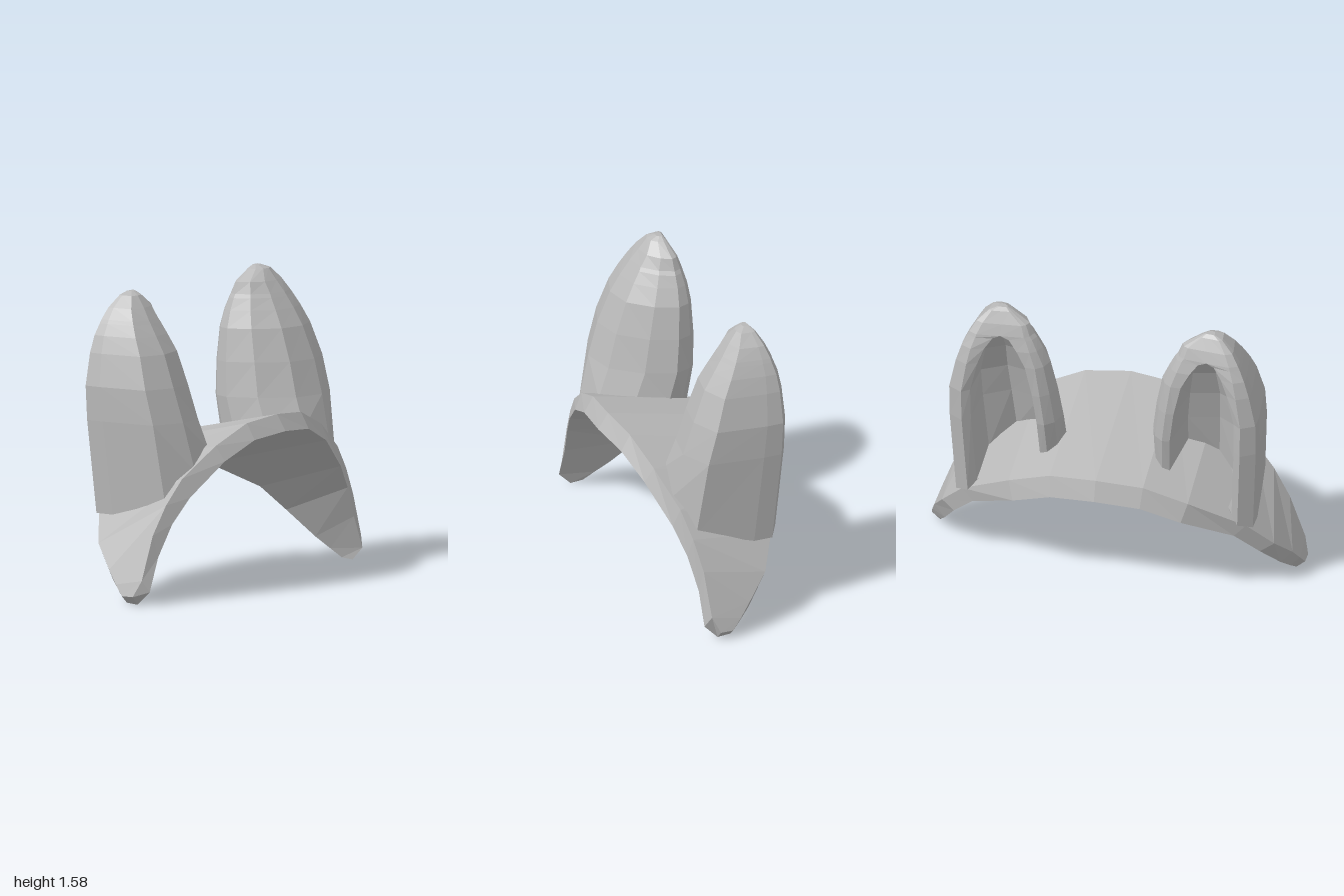
import * as THREE from 'three';

// Closed-ring loft with fan caps; non-indexed so every facet is flat.
function loft(rings, mirror = false) {
  const out = [];
  const tri = (a, b, c) => {
    for (const p of mirror ? [a, c, b] : [a, b, c]) out.push(mirror ? -p[0] : p[0], p[1], p[2]);
  };
  const n = rings[0].length;
  for (let i = 0; i < rings.length - 1; i++) {
    for (let j = 0; j < n; j++) {
      const k = (j + 1) % n;
      const a = rings[i][j], b = rings[i][k], c = rings[i + 1][k], d = rings[i + 1][j];
      tri(a, b, c);
      tri(a, c, d);
    }
  }
  const cap = (ring, end) => {
    const m = [0, 1, 2].map(q => ring.reduce((s, p) => s + p[q], 0) / n);
    for (let j = 0; j < n; j++) {
      const k = (j + 1) % n;
      if (end) tri(m, ring[j], ring[k]); else tri(m, ring[k], ring[j]);
    }
  };
  cap(rings[0], false);
  cap(rings[rings.length - 1], true);
  const g = new THREE.BufferGeometry();
  g.setAttribute('position', new THREE.Float32BufferAttribute(out, 3));
  g.computeVertexNormals();
  return g;
}

// Band sections from the crown to one tip: outer front, inner front, inner back, outer back
const BAND = [
  [[0, .905, .385], [0, .82, .44], [0, .62, -.44], [0, .73, -.405]],
  [[.24, .885, .365], [.24, .80, .415], [.24, .60, -.42], [.25, .71, -.385]],
  [[.47, .79, .33], [.45, .71, .375], [.45, .52, -.38], [.48, .62, -.345]],
  [[.69, .64, .275], [.67, .54, .31], [.70, .38, -.23], [.76, .44, -.21]],
  [[.80, .51, .25], [.78, .41, .275], [.82, .25, -.15], [.89, .29, -.12]],
  [[.89, .36, .23], [.87, .245, .25], [.90, .11, -.02], [.96, .17, 0]],
  [[.975, .13, .22], [.945, .07, .25], [.935, .05, .05], [.985, .10, .06]],
  [[1, .045, .18], [.955, 0, .18], [.955, .005, .11], [1, .045, .11]],
];

// Height of the band surface across x, used to seat the ears
const SEAT = [[0, .82], [.24, .80], [.47, .71], [.7, .56], [.8, .45], [.9, .33]];
function seat(x, z) {
  let i = 0;
  while (i < SEAT.length - 2 && x > SEAT[i + 1][0]) i++;
  const [x0, y0] = SEAT[i], [x1, y1] = SEAT[i + 1];
  return Math.max(.43, y0 + (y1 - y0) * (x - x0) / (x1 - x0) + .22 * z - .02);
}

// Ear levels: y (null = seated on band), inner x, outer x, front z, back z, hollow size
const LEVELS = [
  [null, .235, .795, .29, -.25, 1],
  [.92, .24, .82, .228, -.29, 1],
  [1.1, .265, .82, .172, -.295, .98],
  [1.27, .30, .785, .105, -.285, .86],
  [1.36, .34, .757, .05, -.27, .68],
  [1.42, .37, .73, .01, -.25, .4],
  [1.44, .385, .72, -.003, -.245, 0],
  [1.5, .41, .685, -.045, -.22, 0],
  [1.56, .50, .625, -.09, -.185, 0],
  [1.578, .53, .58, -.13, -.165, 0],
];
// Ear section, u = inner to outer, v = back to front; the last five form the hollow
const SECTION = [
  [.13, .10], [.05, .18], [0, .34], [.11, .64], [.34, .93], [.65, 1], [.94, .86], [1, .28], [1, .09], [.87, 0],
  [.80, .07], [.78, .50], [.55, .66], [.27, .58], [.20, .11],
];

function earRings() {
  return LEVELS.map(([y, xi, xo, zf, zb, c]) => SECTION.map(([u, v], j) => {
    if (j >= 10) {
      u = .5 + (u - .5) * c;
      v = .05 + (v - .05) * c;
    }
    const x = xi + (xo - xi) * u, z = zb + (zf - zb) * v;
    return [x, y === null ? seat(x, z) : y, z];
  }));
}

export function createModel() {
  const group = new THREE.Group();
  const grey = new THREE.MeshStandardMaterial({ color: 0xb8b8b8 });
  grey.name = 'plain grey';
  const add = (name, geometry) => {
    const mesh = new THREE.Mesh(geometry, grey);
    mesh.name = name;
    group.add(mesh);
  };

  // Tilted headband, mirrored about the crown
  const half = BAND.slice(1).reverse().map(r => r.map(([x, y, z]) => [-x, y, z]));
  add('headband', loft([...half, ...BAND]));

  // Two hollow ears opening to the back
  add('leftEar', loft(earRings()));
  add('rightEar', loft(earRings(), true));
  return group;
}
